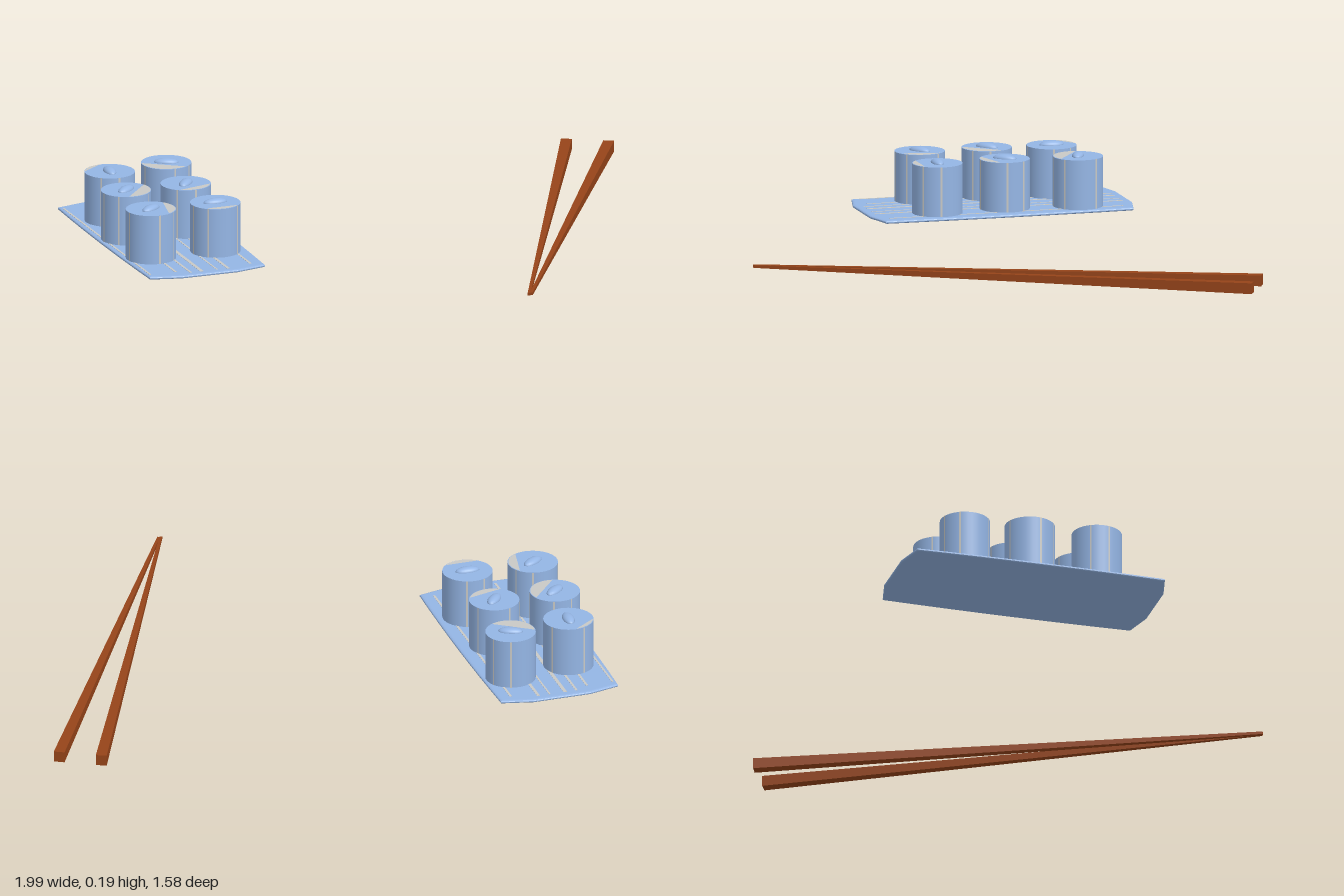
import * as THREE from 'three';

const blue = new THREE.MeshStandardMaterial({ color: 0x94b5e4 });
blue.name = 'glaze blue';
const pale = new THREE.MeshStandardMaterial({ color: 0xc9c9c5 });
pale.name = 'pale grey';
const wood = new THREE.MeshStandardMaterial({ color: 0x964419 });
wood.name = 'red brown wood';

function add(parent, name, geometry, material, x = 0, y = 0, z = 0) {
  const mesh = new THREE.Mesh(geometry, material);
  mesh.name = name;
  mesh.position.set(x, y, z);
  parent.add(mesh);
  return mesh;
}

// Thin tray with bowed sides, clipped corners and a soft rim
function makeTray() {
  const tray = new THREE.Group();
  tray.name = 'tray';
  const inset = 0.01, w = 0.215 - inset, d = 0.46 - inset;
  const s = new THREE.Shape();
  s.moveTo(-w + 0.007, -d + 0.024);
  s.lineTo(-0.1, -d);
  s.lineTo(0.1, -d);
  s.lineTo(w - 0.007, -d + 0.024);
  s.quadraticCurveTo(w + 0.007, 0, w - 0.007, d - 0.024);
  s.lineTo(0.1, d);
  s.lineTo(-0.1, d);
  s.lineTo(-w + 0.007, d - 0.024);
  s.quadraticCurveTo(-w - 0.007, 0, -w + 0.007, -d + 0.024);
  const g = new THREE.ExtrudeGeometry(s, {
    depth: 0.003, bevelThickness: 0.004, bevelSize: inset, bevelSegments: 3, curveSegments: 8,
  });
  g.rotateX(Math.PI / 2);
  add(tray, 'trayPlate', g, blue, 0, 0.007, 0);

  // Painted lengthwise stripes
  const stripes = [[-0.196, 0.007], [-0.105, 0.008], [-0.06, 0.008], [-0.02, 0.012],
    [0.035, 0.006], [0.075, 0.01], [0.165, 0.008]];
  for (const [x, width] of stripes) {
    const plate = new THREE.BoxGeometry(width, 0.001, Math.abs(x) > 0.1 ? 0.82 : 0.87);
    add(tray, 'trayStripe', plate, pale, x, 0.0112, 0);
  }
  tray.position.set(-0.783, 0, -0.32);
  return tray;
}

// Upright roll: centre x and z, filling angle, pale patch direction and chord half-angle
const R = 0.085, BASE = 0.01, TOP = 0.181;
function makeRoll([x, z, turn, patchAt, patchHalf], index) {
  const roll = new THREE.Group();
  roll.name = 'roll' + (index + 1);
  const h = TOP - BASE;
  add(roll, 'rollBody', new THREE.CylinderGeometry(R, R, h, 40), blue, 0, BASE + h / 2, 0);

  // Raised filling
  const filling = add(roll, 'filling', new THREE.SphereGeometry(1, 20, 12), blue, 0, TOP, 0);
  filling.scale.set(0.042, 0.014, 0.02);
  filling.rotation.y = turn;

  // Pale patch on the top
  if (patchHalf) {
    const s = new THREE.Shape();
    s.absarc(0, 0, R * 0.97, patchAt - patchHalf, patchAt + patchHalf, false);
    const g = new THREE.ShapeGeometry(s, 20);
    g.rotateX(-Math.PI / 2);
    add(roll, 'topPatch', g, pale, 0, TOP + 0.001, 0);
  }

  // Narrow pale stripes around the wrapper
  for (let i = 0; i < 6; i++) {
    const start = index * 0.7 + i * 1.05 + (i % 2) * 0.3;
    const g = new THREE.CylinderGeometry(R + 0.0008, R + 0.0008, h, 2, 1, true, start, 0.07);
    add(roll, 'wrapperStripe', g, pale, 0, BASE + h / 2, 0);
  }
  roll.position.set(x, 0, z);
  return roll;
}

// Square chopstick tapering from the handle to the tip
function makeChopstick(name, tip, end) {
  const a = new THREE.Vector3(...tip), b = new THREE.Vector3(...end);
  const length = a.distanceTo(b);
  const g = new THREE.BoxGeometry(0.037, 0.037, length);
  const p = g.attributes.position;
  for (let i = 0; i < p.count; i++) {
    if (p.getZ(i) < 0) p.setXY(i, p.getX(i) * 0.25, p.getY(i) * 0.25);
  }
  g.computeVertexNormals();
  const stick = add(new THREE.Group(), name, g, wood);
  stick.position.copy(a).add(b).multiplyScalar(0.5);
  stick.lookAt(b);
  return stick;
}

export function createModel() {
  const model = new THREE.Group();
  model.name = 'rollsAndChopsticks';
  model.add(makeTray());
  const rolls = [
    [-0.88, -0.555, 1.5, 2.2, 0.6],
    [-0.665, -0.585, -0.4, 4.1, 1.15],
    [-0.905, -0.335, 0.7, -0.7, 1.1],
    [-0.69, -0.335, 0.9, -1.3, 0.85],
    [-0.905, -0.1, 0.6, -0.2, 0.9],
    [-0.675, -0.095, 0, -1.57, 0.75],
  ];
  rolls.forEach((r, i) => model.add(makeRoll(r, i)));
  model.add(makeChopstick('chopstickInner', [0.12, 0.021, 0.783], [0.853, 0.023, -0.786]));
  model.add(makeChopstick('chopstickOuter', [0.128, 0.021, 0.783], [0.979, 0.023, -0.716]));
  return model;
}
